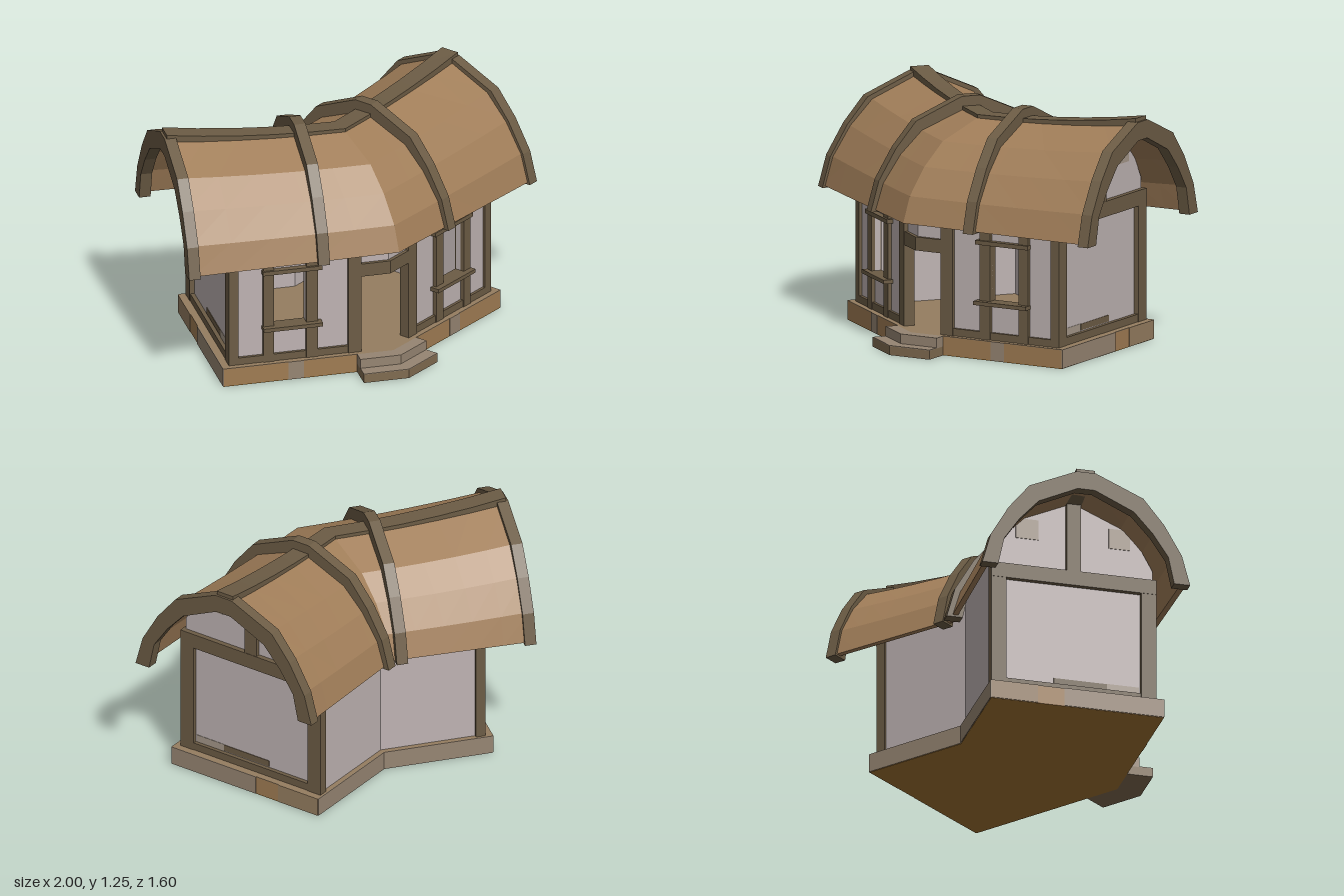
import * as THREE from 'three';

const HALF = 19 * Math.PI / 180;      // half of the bend between the two wings
const K = Math.tan(HALF);             // mitre slope along the bend
const MITRE = null;                   // marks a block cut at the bend

const mat = (name, color) => {
  const m = new THREE.MeshStandardMaterial({ color });
  m.name = name;
  return m;
};

// Box in wing space: s runs along the wing, w across it (+w is the front)
function block(s0, s1, y0, y1, w0, w1) {
  const g = new THREE.BoxGeometry(1, 1, 1), p = g.attributes.position;
  for (let i = 0; i < p.count; i++) {
    const w = p.getZ(i) < 0 ? w0 : w1;
    const inner = s0 === MITRE ? -w * K : s0;
    p.setXYZ(i, p.getX(i) < 0 ? inner : s1, p.getY(i) < 0 ? y0 : y1, w);
  }
  return g.toNonIndexed();
}

// Full profile from -w to +w out of one half
const fullProfile = half => [
  ...half.map(([w, y]) => [-w, y]),
  ...half.slice().reverse(),
];

// Thick shell lofted along the wing; place(w, y, t) gives a point for t in 0..1
function shell(outerHalf, innerHalf, steps, place) {
  const outer = fullProfile(outerHalf), inner = fullProfile(innerHalf);
  const ring = [...outer, ...inner.slice().reverse()], n = ring.length, pos = [];
  const quad = (a, b, c, d) => [a, b, c, a, c, d].forEach(v => pos.push(...v));
  const at = (i, t) => place(ring[i % n][0], ring[i % n][1], t);
  for (let j = 0; j < steps; j++) {
    const t0 = j / steps, t1 = (j + 1) / steps;
    for (let i = 0; i < n; i++) quad(at(i, t0), at(i + 1, t0), at(i + 1, t1), at(i, t1));
  }
  for (let i = 0; i < outer.length - 1; i++) {
    const q = [i, i + 1, n - 2 - i, n - 1 - i];
    quad(...q.map(k => at(k, 1)));
    quad(...q.reverse().map(k => at(k, 0)));
  }
  const g = new THREE.BufferGeometry();
  g.setAttribute('position', new THREE.Float32BufferAttribute(pos, 3));
  return g;
}

// Mirror a geometry across the bend and restore its winding
function mirror(geometry) {
  const p = geometry.attributes.position;
  const nx = Math.cos(HALF), nz = Math.sin(HALF), v = [];
  for (let i = 0; i < p.count; i += 3) {
    for (const k of [i, i + 2, i + 1]) {
      const d = 2 * (p.getX(k) * nx + p.getZ(k) * nz);
      v.push(p.getX(k) - d * nx, p.getY(k), p.getZ(k) - d * nz);
    }
  }
  const g = new THREE.BufferGeometry();
  g.setAttribute('position', new THREE.Float32BufferAttribute(v, 3));
  return g;
}

export function createModel() {
  const wood = mat('dark timber', 0x6c5c45);
  const plaster = mat('pale plaster', 0xbeb3b2);
  const stained = mat('stained plaster', 0xa5988a);
  const thatch = mat('tan roof', 0xa17e59);
  const earth = mat('brown foundation', 0xa07c53);
  const worn = mat('worn earth', 0x957d60);
  const under = mat('ochre underside', 0xa07232);
  const stone = mat('grey stone', 0x968572);
  const step = mat('brown stone', 0x806b50);

  const parts = [];
  const add = (name, material, geometry) => parts.push({ name, material, geometry });
  const addBlock = (name, material, ...b) => add(name, material, block(...b));

  // Foundation with floor, underside and stone facing
  addBlock('underside', under, MITRE, 0.73, 0, 0.004, -0.445, 0.465);
  addBlock('foundation', earth, MITRE, 0.73, 0.004, 0.096, -0.445, 0.465);
  addBlock('floor', worn, MITRE, 0.73, 0.096, 0.1, -0.445, 0.465);
  addBlock('backStoneFacing', stone, MITRE, 0.73, 0.002, 0.1, -0.449, -0.445);
  addBlock('endStoneFacing', stone, 0.73, 0.734, 0.002, 0.1, -0.06, 0.465);
  addBlock('endWornFacing', worn, 0.73, 0.734, 0.002, 0.1, -0.445, -0.2);
  addBlock('frontStone', stone, 0.31, 0.39, 0.002, 0.1, 0.465, 0.468);

  // Door steps
  addBlock('lowerStep', step, MITRE, 0.03, 0, 0.046, 0.465, 0.6);
  addBlock('lowerStepTop', stone, MITRE, 0.03, 0.046, 0.05, 0.465, 0.6);
  addBlock('upperStep', stone, MITRE, 0.03, 0.05, 0.1, 0.465, 0.53);

  // Front wall around the doorway and window opening
  addBlock('wallOverDoor', plaster, MITRE, 0.03, 0.55, 0.82, 0.39, 0.42);
  addBlock('wallBesideDoor', plaster, 0.03, 0.29, 0.1, 0.82, 0.39, 0.42);
  addBlock('wallUnderWindow', plaster, 0.29, 0.46, 0.1, 0.29, 0.39, 0.42);
  addBlock('wallOverWindow', plaster, 0.29, 0.46, 0.6, 0.82, 0.39, 0.42);
  addBlock('wallBesideWindow', plaster, 0.46, 0.66, 0.1, 0.82, 0.39, 0.42);
  addBlock('backWall', plaster, MITRE, 0.66, 0.1, 0.82, -0.42, -0.39);

  // Gable wall
  const gable = new THREE.Shape(fullProfile(
    [[0.42, 0.1], [0.42, 0.84], [0.365, 0.94], [0.27, 1.05], [0.04, 1.15]]
  ).map(([x, y]) => new THREE.Vector2(x, y)));
  const gableGeo = new THREE.ExtrudeGeometry(gable, { depth: 0.09, bevelEnabled: false });
  gableGeo.rotateY(Math.PI / 2).translate(0.58, 0, 0);
  gableGeo.clearGroups();
  add('gableWall', plaster, gableGeo);

  // Stains on the gable wall
  addBlock('frontGableStain', stained, 0.67, 0.673, 0.94, 1.05, 0.19, 0.3);
  addBlock('backGableStain', stained, 0.67, 0.673, 0.94, 1.05, -0.3, -0.18);
  addBlock('lowWallStain', wood, 0.67, 0.673, 0.145, 0.178, -0.1, 0.18);
  addBlock('wideWallStain', stained, 0.67, 0.672, 0.14, 0.18, 0.18, 0.35);

  // Timber frame of the gable
  addBlock('frontCornerPost', wood, 0.645, 0.695, 0.1, 0.78, 0.355, 0.435);
  addBlock('backCornerPost', wood, 0.645, 0.695, 0.1, 0.78, -0.435, -0.355);
  addBlock('gableBeam', wood, 0.645, 0.697, 0.7, 0.78, -0.435, 0.435);
  addBlock('gableSill', wood, 0.645, 0.692, 0.1, 0.14, -0.43, 0.43);
  addBlock('kingPost', wood, 0.645, 0.695, 0.78, 1.16, -0.037, 0.037);

  // Door frame, window frame and ground beam
  addBlock('doorLintel', wood, MITRE, 0.01, 0.52, 0.59, 0.385, 0.438);
  addBlock('doorPost', wood, 0, 0.07, 0.1, 0.8, 0.385, 0.44);
  addBlock('groundBeam', wood, 0.07, 0.65, 0.1, 0.138, 0.385, 0.435);
  addBlock('windowPost', wood, 0.23, 0.29, 0.1, 0.8, 0.385, 0.44);
  addBlock('windowPost', wood, 0.46, 0.515, 0.1, 0.8, 0.385, 0.44);
  addBlock('windowSill', wood, 0.21, 0.52, 0.28, 0.3, 0.385, 0.47);
  addBlock('windowHead', wood, 0.21, 0.52, 0.59, 0.612, 0.385, 0.452);

  // Curved roof, sagging towards the bend to the fraction low
  const sag = (end, low) => (w, y, t) => {
    const f = low + (1 - low) * t * t, wide = w * (0.965 + 0.035 * t);
    return [THREE.MathUtils.lerp(-wide * K, end, t), 0.67 + (y - 0.67) * f, wide];
  };
  add('roof', thatch, shell(
    [[0.533, 0.67], [0.49, 0.82], [0.395, 0.975], [0.275, 1.105], [0.04, 1.21]],
    [[0.503, 0.67], [0.46, 0.81], [0.37, 0.955], [0.255, 1.075], [0.035, 1.175]],
    5, sag(0.91, 0.9)));
  add('ridgeBeam', wood, shell([[0.05, 1.245]], [[0.05, 1.18]], 5, sag(0.92, 0.87)));

  // Timber arches over the roof
  for (const s of [0.193, 0.872]) {
    add('roofArch', wood, shell(
      [[0.547, 0.66], [0.503, 0.82], [0.41, 0.98], [0.3, 1.115], [0.05, 1.225]],
      [[0.463, 0.66], [0.432, 0.805], [0.35, 0.925], [0.25, 1.035], [0.045, 1.13]],
      1, (w, y, t) => [s + 0.06 * t, y, w]));
  }

  // Both wings meet at the bend
  const house = new THREE.Group();
  house.name = 'house';
  for (const wingName of ['leftWing', 'rightWing']) {
    const wing = new THREE.Group();
    wing.name = wingName;
    wing.position.set(0.07, 0, 0.2);
    for (const { name, material, geometry } of parts) {
      const g = wingName === 'rightWing' ? mirror(geometry) : geometry;
      g.computeVertexNormals();
      const mesh = new THREE.Mesh(g, material);
      mesh.name = name;
      wing.add(mesh);
    }
    house.add(wing);
  }
  return house;
}
